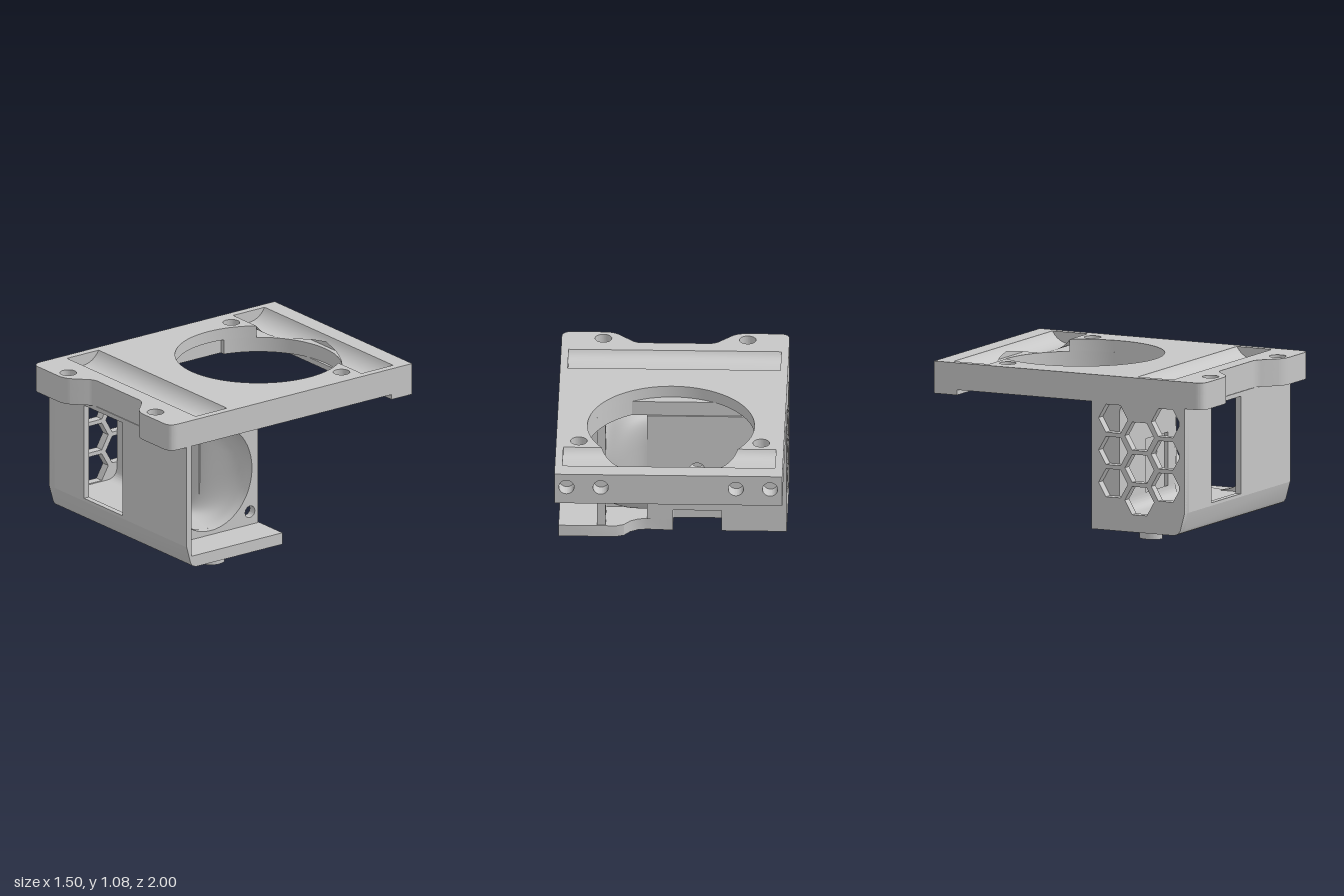
import * as THREE from 'three';
import { toCreasedNormals } from 'three/addons/utils/BufferGeometryUtils.js';

const grey = new THREE.MeshStandardMaterial({ color: 0xc6c6c6 });
grey.name = 'grey plastic';
const greyOpen = new THREE.MeshStandardMaterial({ color: 0xc6c6c6, side: THREE.DoubleSide });
greyOpen.name = 'grey plastic';

export function createModel() {
  const model = new THREE.Group();
  const add = (name, geo, mat = grey) => {
    const mesh = new THREE.Mesh(geo, mat);
    mesh.name = name;
    model.add(mesh);
  };
  const poly = pts => new THREE.Shape(pts.map(p => new THREE.Vector2(p[0], p[1])));
  const rect = (x0, y0, x1, y1) => poly([[x0, y0], [x1, y0], [x1, y1], [x0, y1]]);
  const oval = (x, y, rx, ry = rx) => new THREE.Path().absellipse(x, y, rx, ry, 0, Math.PI * 2);
  const withHoles = (shape, ...holes) => { shape.holes.push(...holes); return shape; };
  const extrude = (shape, depth) =>
    new THREE.ExtrudeGeometry(shape, { depth, bevelEnabled: false, curveSegments: 32 });
  // Shape in (x, z) spanning y0..y1
  const flat = (shape, y0, y1) =>
    toCreasedNormals(extrude(shape, y1 - y0).rotateX(Math.PI / 2).translate(0, y1, 0), 0.5);
  // Shape in (z, y) spanning x0..x1
  const side = (shape, x0, x1) =>
    toCreasedNormals(extrude(shape, x1 - x0).rotateY(-Math.PI / 2).translate(x1, 0, 0), 0.5);
  // Shape in (x, y) spanning z0..z1
  const facing = (shape, z0, z1) =>
    toCreasedNormals(extrude(shape, z1 - z0).translate(0, 0, z0), 0.5);
  const surface = (pos, idx) => {
    const g = new THREE.BufferGeometry();
    g.setAttribute('position', new THREE.Float32BufferAttribute(pos, 3));
    g.setIndex(idx);
    g.computeVertexNormals();
    return g;
  };

  // ---- Top plate: thin upper deck over a thicker lower layer ----
  const HZ = -0.3, HR = 0.55, DECK = 1.0, TOP = 1.08;
  const plateOutline = () => {
    const s = new THREE.Shape();
    s.moveTo(-0.75, -0.9);
    s.lineTo(0.75, -0.9);
    s.lineTo(0.75, 0.93);
    s.quadraticCurveTo(0.75, 1, 0.68, 1);
    s.lineTo(0.47, 1);
    s.quadraticCurveTo(0.41, 1, 0.37, 0.965);
    s.lineTo(0.29, 0.885);
    s.quadraticCurveTo(0.26, 0.855, 0.22, 0.855);
    s.lineTo(-0.22, 0.855);
    s.quadraticCurveTo(-0.26, 0.855, -0.29, 0.885);
    s.lineTo(-0.37, 0.965);
    s.quadraticCurveTo(-0.41, 1, -0.47, 1);
    s.lineTo(-0.68, 1);
    s.quadraticCurveTo(-0.75, 1, -0.75, 0.93);
    return s;
  };

  // Round opening merged with the rear groove
  const opening = new THREE.Path();
  const a = Math.asin(-0.32 / HR);
  opening.absarc(0, HZ, HR, a, Math.PI - a, false);
  [[-0.7, -0.62], [-0.7, -0.88], [0.7, -0.88], [0.7, -0.62]].forEach(p => opening.lineTo(...p));
  const screws = [[-0.6, -0.53], [0.6, -0.53], [-0.475, 0.91], [0.475, 0.91]].map(p => oval(...p, 0.055));
  add('upperDeck', flat(withHoles(plateOutline(), opening, rect(-0.7, 0.49, 0.7, 0.75), ...screws), DECK, TOP));

  // Lower opening: cut straight at the body, squared on one side
  const lower = new THREE.Path();
  const b = Math.asin(0.48 / HR);
  lower.absarc(0, HZ, HR, b, -Math.PI + Math.asin(0.12 / HR), true);
  lower.lineTo(-0.57, -0.42);
  lower.lineTo(-0.57, 0.18);
  lower.closePath();
  add('lowerDeck', flat(withHoles(plateOutline(), lower), 0.9, DECK));

  // Rear edge with four bores, and the lip below it
  const bores = [-0.67, -0.445, 0.445, 0.67].map(x => oval(x, 0.985, 0.05));
  add('rearEdge', facing(withHoles(rect(-0.75, 0.865, 0.75, TOP), ...bores), -1, -0.9));
  add('rearLip', facing(rect(-0.75, 0.865, 0.75, 0.9), -0.9, -0.83));

  // Concave groove floors, stopping at the round opening
  const groove = (name, z0, z1) => {
    const N = 32, depth = TOP - DECK - 0.002, half = (z1 - z0) / 2;
    const R = (half * half + depth * depth) / (2 * depth);
    const pos = [], idx = [];
    for (const s of [-1, 1]) {
      const start = pos.length / 3;
      for (let i = 0; i <= N; i++) {
        const z = z0 + (z1 - z0) * i / N, d = z - (z0 + z1) / 2;
        const y = TOP - depth + R - Math.sqrt(R * R - d * d);
        const inner = Math.sqrt(Math.max(0, HR * HR - (z - HZ) ** 2));
        pos.push(s * inner, y, z, s * 0.7, y, z);
        if (i < N) {
          const k = start + i * 2;
          if (s > 0) idx.push(k, k + 2, k + 1, k + 1, k + 2, k + 3);
          else idx.push(k, k + 1, k + 2, k + 1, k + 3, k + 2);
        }
      }
    }
    add(name, surface(pos, idx), greyOpen);
  };
  groove('frontGroove', 0.49, 0.75);
  groove('rearGroove', -0.88, -0.62);

  // ---- Body ----
  add('frontWall', facing(withHoles(rect(-0.75, 0.2, 0.75, 0.9), rect(-0.37, 0.22, 0.05, 0.87)), 0.82, 0.86));

  // Rounded lower front edge running into the base
  add('frontBase', side(poly([[0.86, 0.2], [0.828, 0.085], [0.815, 0.063], [0.785, 0.05],
    [0.37, 0.05], [0.37, 0.13], [0.82, 0.13], [0.82, 0.2]]), -0.71, 0.75));
  add('rearBase', flat(poly([[-0.71, 0.37], [-0.71, 0.17], [-0.32, 0.17], [-0.32, 0.35], [0, 0.35], [0, 0.17],
    [0.17, 0.18], [0.23, 0.17], [0.28, 0.14], [0.32, 0.09], [0.37, 0.07], [0.75, 0.07], [0.75, 0.37]]), 0.05, 0.13));
  add('ductFloor', flat(rect(-0.71, 0.34, 0.45, 0.82), 0.13, 0.16));

  // Side wall with honeycomb grille
  const hexes = [];
  [[0.33, 0.795], [0.525, 0.69], [0.72, 0.795]].forEach(([z, top]) => {
    for (let row = 0; row < 3; row++) {
      const pts = [];
      for (let k = 0; k < 6; k++) {
        const t = k * Math.PI / 3;
        pts.push([z + 0.108 * Math.cos(t), top - row * 0.215 + 0.108 * Math.sin(t)]);
      }
      hexes.push(poly(pts));
    }
  });
  add('grilleWall', side(withHoles(poly([[0.17, 0.05], [0.785, 0.05], [0.815, 0.063], [0.828, 0.085],
    [0.86, 0.2], [0.86, 0.9], [0.17, 0.9]]), ...hexes), -0.75, -0.69));

  // Thick back wall with screw holes, a notch at the bottom and a shallow pocket inside
  add('backWall', facing(withHoles(poly([[-0.69, 0.13], [-0.32, 0.13], [-0.32, 0.2], [0, 0.2], [0, 0.13],
    [0.17, 0.13], [0.17, 0.9], [-0.69, 0.9]]), oval(-0.16, 0.5, 0.052), oval(-0.6, 0.5, 0.045)), 0.17, 0.32));
  add('pocketFrame', facing(withHoles(rect(-0.69, 0.13, 0.1, 0.9), rect(-0.32, 0.17, 0, 0.6)), 0.32, 0.345));

  // Duct skins: rear half of a section that opens from a rounded box to an oval
  const ductSkin = (name, x0, rx0, rx1, ry) => {
    const M = 16, N = 32, pos = [], idx = [];
    for (let i = 0; i <= M; i++) {
      const t = i / M, e = t * t * (3 - 2 * t);
      const power = 2 / (5 - 3 * e), rx = rx0 + (rx1 - rx0) * e;
      for (let j = 0; j <= N; j++) {
        const u = Math.PI * j / N, c = Math.cos(u);
        pos.push(x0 + (0.45 - x0) * t, 0.522 + ry * Math.sign(c) * Math.abs(c) ** power,
          0.467 - rx * Math.abs(Math.sin(u)) ** power);
        if (i < M && j < N) {
          const k = i * (N + 1) + j;
          idx.push(k, k + N + 1, k + 1, k + 1, k + N + 1, k + N + 2);
        }
      }
    }
    add(name, surface(pos, idx), greyOpen);
  };
  ductSkin('ductInside', 0.08, 0.122, 0.338, 0.363);
  ductSkin('ductOutside', 0.16, 0.29, 0.375, 0.375);

  // Concave fillets inside the duct along the back wall
  const fillet = (name, y, dir) => {
    const s = new THREE.Shape();
    s.moveTo(0.345, y);
    s.lineTo(0.43, y);
    s.quadraticCurveTo(0.345, y, 0.345, y + dir * 0.085);
    add(name, side(s, -0.69, 0.1));
  };
  fillet('lowerFillet', 0.16, 1);
  fillet('upperFillet', 0.9, -1);

  // Fan flange with oval inlet and corner holes
  const corners = [[0.745, 0.82, 0.045], [0.145, 0.82, 0.035], [0.145, 0.22, 0.04], [0.745, 0.22, 0.035]];
  add('fanFlange', side(withHoles(rect(0.08, 0.13, 0.82, 0.9), oval(0.467, 0.522, 0.338, 0.363),
    ...corners.map(c => oval(...c))), 0.44, 0.495));

  // Hollow feet
  for (const s of [-1, 1]) {
    const foot = new THREE.Shape();
    foot.absellipse(s * 0.632, 0.55, 0.062, 0.08, 0, Math.PI * 2);
    add(s > 0 ? 'leftFoot' : 'rightFoot', flat(withHoles(foot, oval(s * 0.632, 0.55, 0.035, 0.05)), 0, 0.055));
  }
  return model;
}
